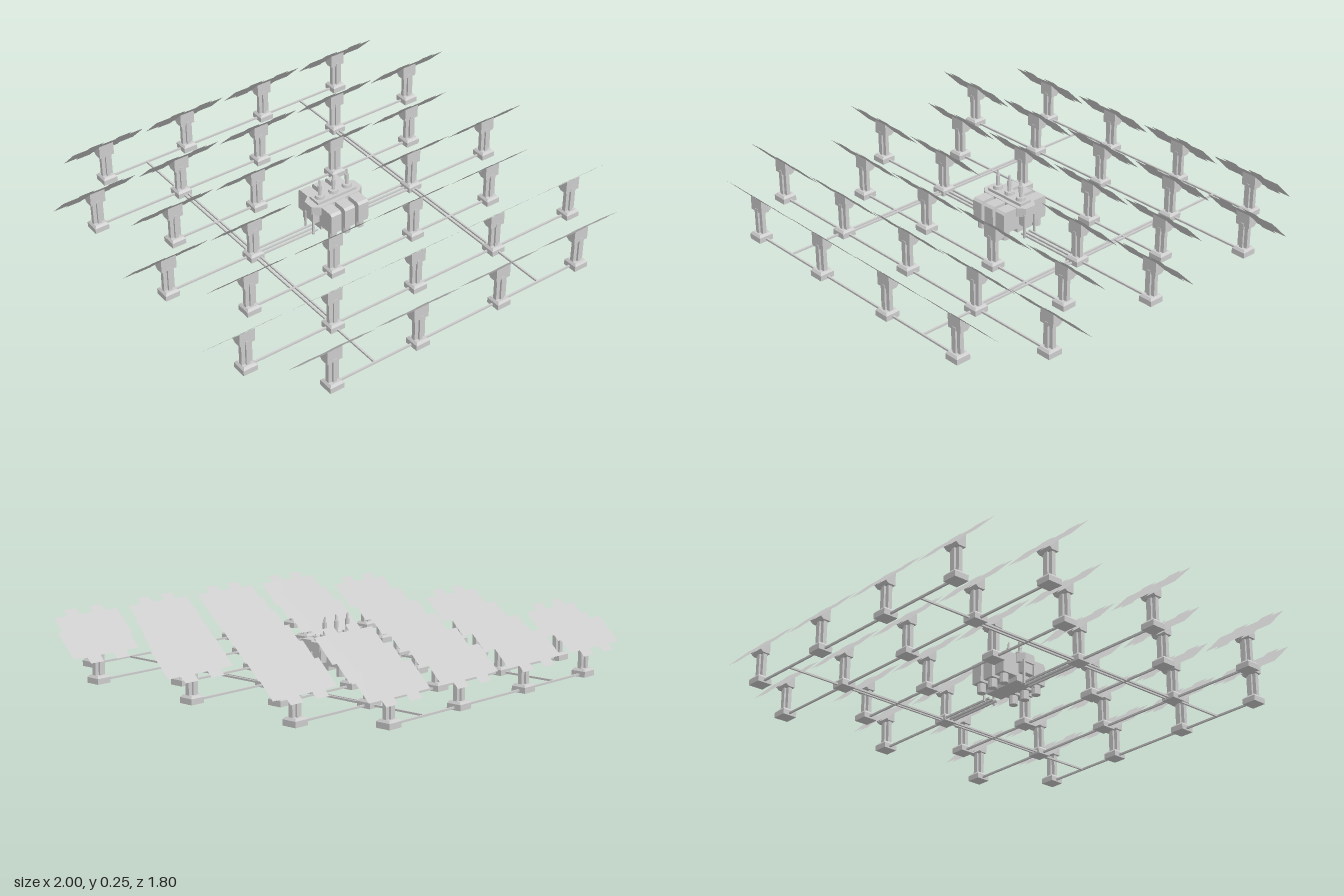
import * as THREE from 'three';

const steel = new THREE.MeshStandardMaterial({ color: 0xcccccc, side: THREE.DoubleSide, flatShading: true });
steel.name = 'light grey';

const PITCH_X = 0.413, PITCH_Z = 0.2765, POST_Z = 0.006;

function add(parent, name, geometry, x = 0, y = 0, z = 0) {
  const mesh = new THREE.Mesh(geometry, steel);
  mesh.name = name;
  mesh.position.set(x, y, z);
  parent.add(mesh);
  return mesh;
}
const box = (w, h, d) => new THREE.BoxGeometry(w, h, d);

// Box between two corners
function block(parent, name, x0, x1, y0, y1, z0, z1) {
  return add(parent, name, box(x1 - x0, y1 - y0, z1 - z0), (x0 + x1) / 2, (y0 + y1) / 2, (z0 + z1) / 2);
}

// Four-sided block that narrows towards the top; sizes are full widths
function taper(bottom, top, h) {
  const g = new THREE.CylinderGeometry(top / Math.SQRT2, bottom / Math.SQRT2, h, 4);
  return g.rotateY(Math.PI / 4);
}

// Profile given as [z, y] points, extruded along x and centred
function sideProfile(points, width) {
  const shape = new THREE.Shape(points.map(([z, y]) => new THREE.Vector2(-z, y)));
  const g = new THREE.ExtrudeGeometry(shape, { depth: width, bevelEnabled: false });
  return g.translate(0, 0, -width / 2).rotateY(Math.PI / 2);
}

// Solar sheet: five equal columns, the second and fourth longer at both ends
function panelGeometry() {
  const w = 0.069, body = 0.068, tab = 0.1, top = [], bottom = [];
  for (let i = 0; i < 5; i++) {
    const h = i % 2 ? tab : body, x = (i - 2.5) * w;
    top.push(new THREE.Vector2(x, h), new THREE.Vector2(x + w, h));
    bottom.unshift(new THREE.Vector2(x + w, -h), new THREE.Vector2(x, -h));
  }
  return new THREE.ShapeGeometry(new THREE.Shape([...top, ...bottom])).rotateX(-Math.PI * 0.75);
}

const panelGeo = panelGeometry();
const headGeo = sideProfile([[0.016, 0.195], [-0.033, 0.146], [-0.018, 0.134], [0.016, 0.134]], 0.07);
const footGeo = box(0.066, 0.024, 0.066);
const footTopGeo = taper(0.066, 0.05, 0.01);
const columnGeo = box(0.05, 0.115, 0.018);
const ribGeo = box(0.016, 0.115, 0.036);

function solarStand(x, z) {
  const g = new THREE.Group();
  g.name = 'solarStand';
  g.position.set(x, 0, z);
  add(g, 'foot', footGeo, 0, 0.012, POST_Z);
  add(g, 'footTop', footTopGeo, 0, 0.029, POST_Z);
  add(g, 'column', columnGeo, 0, 0.09, POST_Z);
  add(g, 'columnRib', ribGeo, 0, 0.09, POST_Z);
  add(g, 'tiltHead', headGeo, 0, 0, POST_Z);
  add(g, 'solarPanel', panelGeo, 0, 0.176, 0);
  return g;
}

// Central power station on short legs
function powerStation() {
  const g = new THREE.Group();
  g.name = 'powerStation';
  block(g, 'coreHousing', -0.095, 0.095, 0.02, 0.125, -0.042, 0.042);

  // Roof with cut corners
  const c = [[-0.13, -0.025], [-0.1, -0.048], [0.1, -0.048], [0.13, -0.025], [0.13, 0.025], [0.1, 0.048], [-0.1, 0.048], [-0.13, 0.025]];
  const roof = new THREE.ExtrudeGeometry(new THREE.Shape(c.map(p => new THREE.Vector2(...p))), { depth: 0.04, bevelEnabled: false });
  add(g, 'roof', roof.rotateX(-Math.PI / 2), 0, 0.1, 0);
  block(g, 'roofRidge', -0.1, 0.1, 0.14, 0.152, -0.03, 0.03);

  for (const s of [-1, 1]) {
    // End cabinets and slim end legs
    block(g, 'endCabinet', s * 0.108 - 0.013, s * 0.108 + 0.013, 0.055, 0.125, -0.032, 0.032);
    for (const z of [-0.028, 0.028]) add(g, 'endLeg', box(0.008, 0.11, 0.008), s * 0.124, 0.055, z);
  }

  for (const x of [-0.07, 0, 0.07]) {
    for (const s of [-1, 1]) {
      // Side units with sloping outer shoulder and a round foot
      const unit = sideProfile([[s * 0.04, 0.04], [s * 0.118, 0.04], [s * 0.118, 0.128], [s * 0.108, 0.138], [s * 0.04, 0.138]], 0.052);
      add(g, 'sideUnit', unit, x, 0, 0);
      add(g, 'unitFoot', new THREE.CylinderGeometry(0.019, 0.019, 0.042, 10), x, 0.021, s * 0.09);
    }
    // Stepped mast
    add(g, 'mastBase', new THREE.CylinderGeometry(0.02, 0.022, 0.016, 12), x, 0.158, 0);
    add(g, 'mast', new THREE.CylinderGeometry(0.008, 0.008, 0.04, 8), x, 0.184, 0);
    add(g, 'mastCap', new THREE.CylinderGeometry(0.009, 0.009, 0.03, 8), x, 0.2, 0);
    add(g, 'mastTip', new THREE.CylinderGeometry(0.004, 0.006, 0.026, 8), x, 0.227, 0);
  }
  return g;
}

// Thin ground cables along x or z
function cableX(g, x0, x1, z) { block(g, 'rowCable', x0, x1, 0.006, 0.014, z - 0.004, z + 0.004); }
function cableZ(g, x, z0, z1) { block(g, 'trunkCable', x - 0.004, x + 0.004, 0.006, 0.014, z0, z1); }

export function createModel() {
  const model = new THREE.Group();
  model.name = 'solarField';

  // Seven staggered rows of four or five stands, the middle place left free
  for (let row = -3; row <= 3; row++) {
    const count = row % 2 ? 4 : 5, z = row * PITCH_Z, half = (count - 1) / 2;
    for (let i = 0; i < count; i++) {
      if (row === 0 && i === 2) continue;
      model.add(solarStand((i - half) * PITCH_X, z));
    }
    if (row !== 0) cableX(model, -half * PITCH_X, half * PITCH_X, z + POST_Z - 0.002);
  }

  // Trunk cables and the leads into the station
  const far = 3 * PITCH_Z + POST_Z, near = 2 * PITCH_Z;
  for (const s of [-1, 1]) {
    cableZ(model, s * 0.415, -far + 0.008, far);
    cableZ(model, s * 0.397, -near, near);
    cableX(model, s < 0 ? -2 * PITCH_X : 0.1, s < 0 ? -0.1 : 2 * PITCH_X, 0.002);
    for (const z of [-0.02, 0.022]) cableX(model, s < 0 ? -0.415 : 0.1, s < 0 ? -0.1 : 0.415, z);
  }

  model.add(powerStation());
  return model;
}
